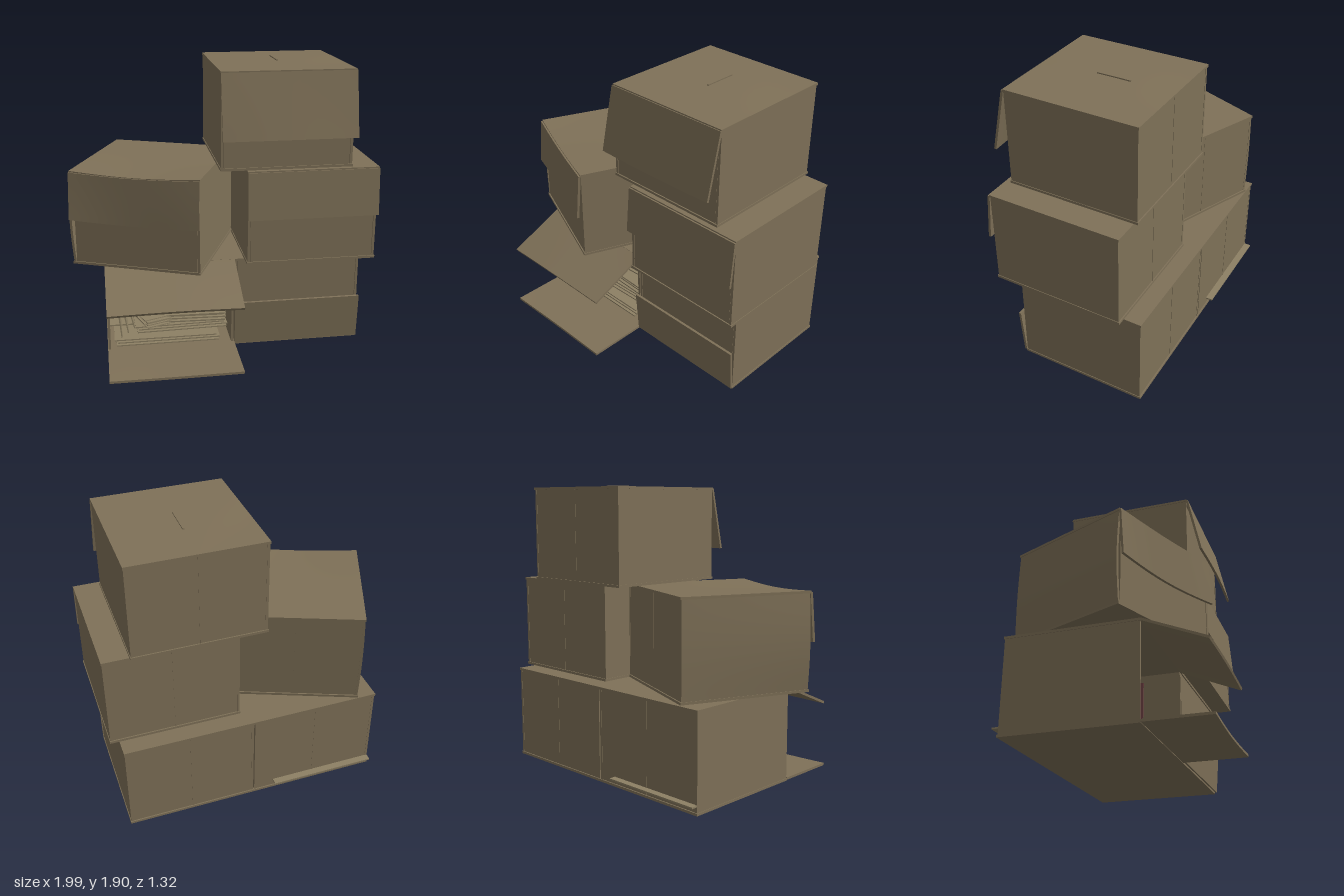
import * as THREE from 'three';

const T = 0.016; // board thickness
const W = 0.86, H = 0.628;
const board = new THREE.MeshStandardMaterial({ color: 0x7f7158 });
const paper = new THREE.MeshStandardMaterial({ color: 0x8d8064 });
const red = new THREE.MeshStandardMaterial({ color: 0x6e3f42 });

function mesh(name, geo, x, y, z, mat = board) {
  const m = new THREE.Mesh(geo, mat);
  m.name = name;
  m.position.set(x, y, z);
  return m;
}

const slab = (name, w, h, d, x, y, z, mat) => mesh(name, new THREE.BoxGeometry(w, h, d), x, y, z, mat);

// Horizontal sheet of card, shifted by warp(u, v) => [dx, dy, dz], u and v from 0 to 1
function sheet(w, d, warp) {
  const geo = new THREE.BoxGeometry(w, T, d, 16, 1, 10);
  const p = geo.attributes.position;
  for (let i = 0; i < p.count; i++) {
    const [dx, dy, dz] = warp(p.getX(i) / w + 0.5, p.getZ(i) / d + 0.5);
    p.setXYZ(i, p.getX(i) + dx, p.getY(i) + dy, p.getZ(i) + dz);
  }
  geo.computeVertexNormals();
  return geo;
}

// Flap hinged on its back edge; a positive angle swings it down
function flap(name, len, angle, y, z, bow = 0, dip = 0) {
  const g = new THREE.Group();
  g.name = name;
  g.position.set(0, y, z);
  g.rotation.x = angle;
  const geo = sheet(W, len, (u, v) => [0, bow * Math.sin(Math.PI * u) * v, dip * Math.sin(Math.PI * u)]);
  g.add(mesh(name + 'Panel', geo, 0, 0, len / 2));
  return g;
}

// Cardboard carton standing on its own y = 0, centred on x and z
function carton(name, d, { open = false, sag = 0, swell = 0, bulge = 0, flipped = false } = {}) {
  const g = new THREE.Group();
  g.name = name;
  const wallH = H - 2 * T;
  g.add(slab('bottom', W, T, d, 0, T / 2, 0));
  const top = sheet(W, d, (u, v) => [0, Math.sin(Math.PI * u) * (swell * Math.sin(Math.PI * v) - sag * v * v), 0]);
  g.add(mesh('top', top, 0, H - T / 2, 0));

  // Side walls, optionally pushed outwards in the middle
  for (const s of [-1, 1]) {
    const geo = sheet(wallH, d - 0.012, (u, v) => [0, s < 0 ? bulge * Math.sin(Math.PI * u) * (0.4 + 0.6 * v) : 0, 0]);
    const side = mesh(s < 0 ? 'rightWall' : 'leftWall', geo, s * (W / 2 - T / 2 - 0.004), H / 2, 0);
    side.rotation.z = -s * Math.PI / 2;
    g.add(side);
  }

  // Back wall in two halves with a seam between
  for (const s of [-1, 1]) {
    g.add(slab('backWall', W / 2 - 0.012, wallH, T, s * (W / 4 - 0.004), H / 2, -d / 2 + 0.016));
  }
  g.add(slab('backSeam', 0.008, wallH, T, 0, H / 2, -d / 2 + 0.014));

  // Front wall, set in a little and cut short along the flap hinge
  if (!open) {
    const shift = flipped ? 0.015 : -0.015;
    g.add(slab('frontWall', W - 0.045, wallH - 0.03, T, 0, H / 2 + shift, d / 2 - 0.016));
  }
  return g;
}

function place(parent, box, x, y, z, turn = 0) {
  box.position.set(x, y, z);
  box.rotation.y = turn;
  parent.add(box);
}

// Bundle of loose sheets, each turned a little
function bundle(name, count, w, d, thick, x, y, z, turn, mat) {
  const g = new THREE.Group();
  g.name = name;
  for (let i = 0; i < count; i++) {
    const s = slab('sheet', w, thick * 0.7, d, 0.012 * Math.sin(i * 2.3), (i + 0.5) * thick, 0.015 * Math.cos(i * 1.7), mat);
    s.rotation.y = 0.05 * Math.sin(i * 3.1);
    g.add(s);
  }
  g.position.set(x, y, z);
  g.rotation.y = turn;
  return g;
}

export function createModel() {
  const model = new THREE.Group();
  model.name = 'cartonStack';

  // Lower left-hand carton, upside down with its flap standing up
  const lowerA = carton('lowerClosedCarton', 0.865, { flipped: true });
  lowerA.add(flap('frontFlap', 0.31, -1.49, 0.012, 0.437));
  place(model, lowerA, 0.5, 0.003, -0.19);

  // Lower open carton with both flaps spread
  const lowerB = carton('lowerOpenCarton', 0.865, { open: true });
  lowerB.add(flap('topFlap', 0.435, 0.4, H - T / 2, 0.43, 0.008));
  lowerB.add(flap('bottomFlap', 0.42, 0, T / 2 + 0.004, 0.43, -0.006, -0.008));
  place(model, lowerB, -0.36, 0.003, -0.19);

  // Folders and papers inside the open carton
  const contents = new THREE.Group();
  contents.name = 'contents';
  contents.add(
    bundle('floorFolders', 3, 0.7, 0.6, 0.012, -0.02, 0.018, 0.08, 0, paper),
    slab('pokingFolder', 0.715, 0.01, 0.62, -0.068, 0.058, -0.16, paper),
    bundle('lowerPapers', 3, 0.62, 0.5, 0.012, 0.08, 0.066, 0.04, 0.03, paper),
    bundle('smallBinder', 6, 0.18, 0.26, 0.009, -0.12, 0.104, 0.16, 0.35, paper),
    bundle('middleFolders', 4, 0.44, 0.46, 0.014, 0.18, 0.104, 0.02, -0.04, paper),
    bundle('upperFolders', 3, 0.6, 0.42, 0.014, 0.1, 0.164, -0.06, 0.05, paper),
    bundle('upperBinder', 6, 0.3, 0.3, 0.008, 0.23, 0.206, 0, -0.15, paper)
  );
  const redFolder = slab('redFolder', 0.01, 0.3, 0.4, 0.39, 0.41, -0.02, red);
  redFolder.rotation.z = -0.05;
  contents.add(redFolder);
  // Folders leaning on the side wall
  for (let i = 0; i < 3; i++) {
    const f = slab('leaningFolder', 0.008, 0.46, 0.5, -0.355 + i * 0.03, 0.29, 0.1 - i * 0.06, paper);
    f.rotation.z = 0.1 + i * 0.07;
    contents.add(f);
  }
  lowerB.add(contents);

  // Middle pair, one straight and one turned
  const middleA = carton('middleStraightCarton', 0.88);
  middleA.add(flap('frontFlap', 0.31, 1.49, H - 0.008, 0.443));
  place(model, middleA, 0.56, 0.637, -0.07);

  const middleB = carton('middleTurnedCarton', 0.865, { sag: 0.018, bulge: 0.018 });
  middleB.add(flap('frontFlap', 0.31, 1.49, H - 0.008, 0.436, -0.02, 0.014));
  place(model, middleB, -0.425, 0.637, -0.06, -0.39);

  // Top carton with hanging flap and a ridge on its lid
  const upper = carton('topCarton', 0.875, { swell: 0.006 });
  upper.add(flap('frontFlap', 0.42, 1.355, H - 0.008, 0.438, 0.012));
  upper.add(slab('lidRidge', 0.012, 0.014, 0.22, 0, H + 0.006, -0.04));
  place(model, upper, 0.39, 1.265, -0.1);

  return model;
}
